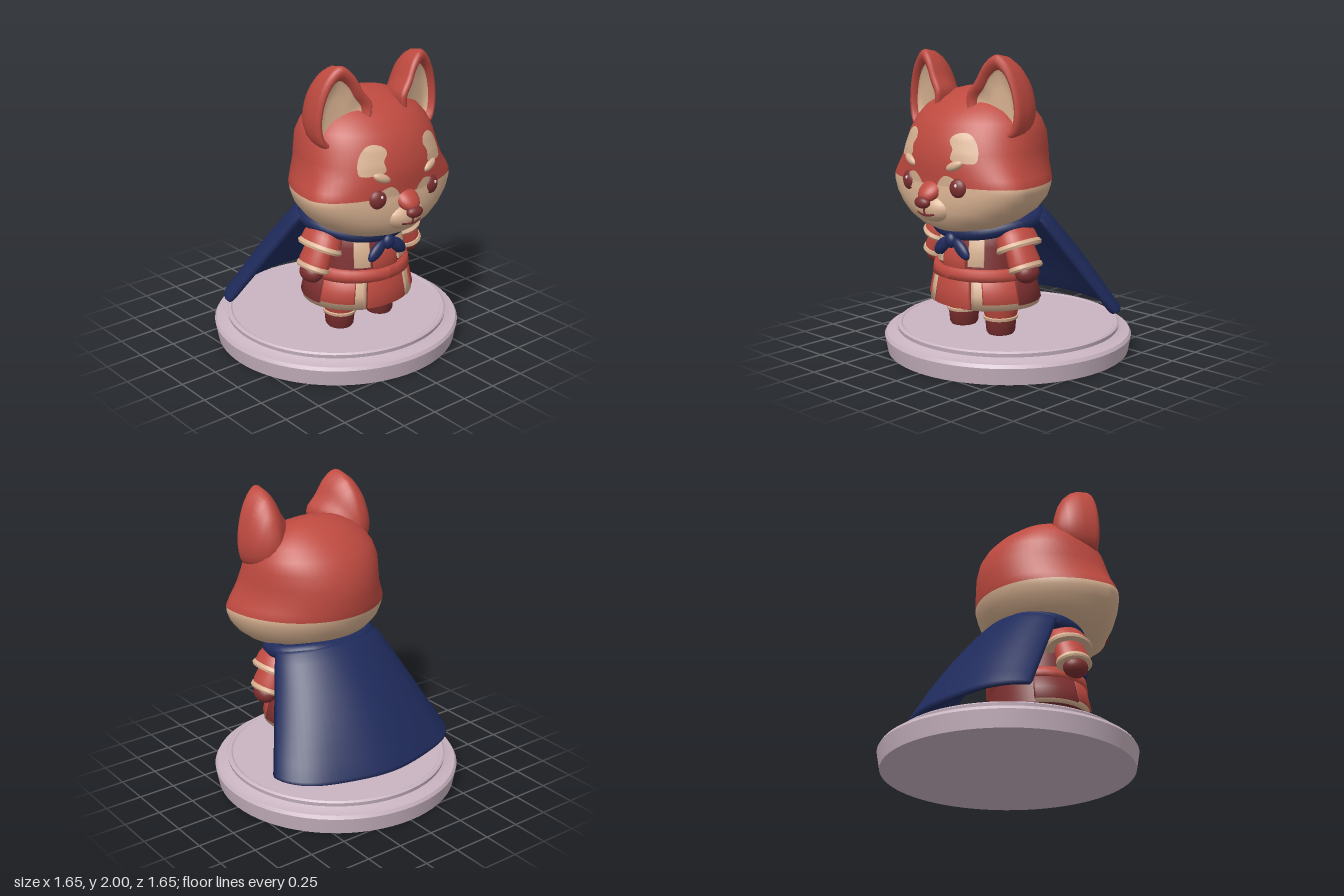
import * as THREE from 'three';
import { toCreasedNormals } from 'three/addons/utils/BufferGeometryUtils.js';

const mat = (name, color) => Object.assign(new THREE.MeshStandardMaterial({ color }), { name });
const red = mat('fur red', 0xbe4a40), cream = mat('cream', 0xd8b191), maroon = mat('maroon', 0x7c2f30);
const navy = mat('navy cloth', 0x1f2b5c), stone = mat('pale stone', 0xc9b4c1), white = mat('eye glint', 0xf0e8e8);
const V = (x, y, z) => new THREE.Vector3(x, y, z);

// Skin over rows of points; each row runs anticlockwise seen from the last row
function loft(rows, closed = true) {
  const n = rows[0].length, pos = [], idx = [];
  rows.forEach(r => r.forEach(p => pos.push(p.x, p.y, p.z)));
  for (let i = 0; i < rows.length - 1; i++) {
    for (let j = 0; j < (closed ? n : n - 1); j++) {
      const k = (j + 1) % n, a = i * n + j, b = i * n + k;
      idx.push(a, b, a + n, b, b + n, a + n);
    }
  }
  const g = new THREE.BufferGeometry();
  g.setAttribute('position', new THREE.Float32BufferAttribute(pos, 3));
  g.setIndex(idx);
  g.computeVertexNormals();
  return g;
}

// Linear lookup in a table whose first column is y
function rowAt(table, y) {
  let i = 0;
  while (i < table.length - 2 && y > table[i + 1][0]) i++;
  const t = THREE.MathUtils.clamp((y - table[i][0]) / (table[i + 1][0] - table[i][0]), 0, 1);
  return table[i].map((v, k) => v + (table[i + 1][k] - v) * t);
}

// Head: y, half width, back z, front z, z of widest point
const HEAD = [
  [0.88, 0.01, 0.46, 0.5, 0.48], [0.888, 0.14, 0.38, 0.58, 0.46], [0.92, 0.29, 0.22, 0.64, 0.42],
  [0.97, 0.4, 0.05, 0.68, 0.4], [1.03, 0.475, -0.07, 0.7, 0.4], [1.1, 0.53, -0.13, 0.705, 0.41],
  [1.16, 0.552, -0.155, 0.7, 0.42], [1.2, 0.556, -0.168, 0.695, 0.42], [1.25, 0.53, -0.175, 0.7, 0.41],
  [1.32, 0.49, -0.18, 0.705, 0.38], [1.4, 0.468, -0.178, 0.7, 0.34], [1.5, 0.455, -0.152, 0.67, 0.3],
  [1.58, 0.425, -0.105, 0.625, 0.28], [1.65, 0.37, -0.04, 0.56, 0.27], [1.71, 0.29, 0.04, 0.47, 0.25],
  [1.75, 0.2, 0.11, 0.38, 0.24], [1.772, 0.11, 0.17, 0.3, 0.23], [1.78, 0.005, 0.225, 0.235, 0.23]];
const SEAM = 7;
function headRing([y, w, zb, zf, zc], n = 56) {
  return Array.from({ length: n }, (_, j) => {
    const a = j / n * Math.PI * 2, c = Math.cos(a);
    return V(w * Math.sin(a), y, zc + c * (c > 0 ? zf - zc : zc - zb));
  });
}
function faceZ(x, y) {
  const [, w, , zf, zc] = rowAt(HEAD, y);
  return zc + (zf - zc) * Math.sqrt(Math.max(0, 1 - (x / w) ** 2));
}

// Closed smooth outline, mirrored when s = -1
function outline(pts, s, n = 36) {
  const p = new THREE.CatmullRomCurve3(pts.map(q => V(q[0], q[1], 0)), true).getPoints(n).slice(0, n);
  return s > 0 ? p : p.map(q => V(-q.x, q.y, 0)).reverse();
}

// Tunic: y, half width, half depth
const BODY = [[0.375, 0.02, 0.02], [0.38, 0.36, 0.31], [0.39, 0.37, 0.32], [0.57, 0.32, 0.295],
  [0.65, 0.305, 0.285], [0.78, 0.3, 0.27], [0.86, 0.28, 0.25], [0.93, 0.22, 0.21], [0.97, 0.12, 0.12]];
function bodyPoint(a, y, off = 0) {
  const [, rx, rz] = rowAt(BODY, y);
  return V((rx + off) * Math.sin(a), y, 0.22 + (rz + off) * Math.cos(a));
}

export function createModel() {
  const root = new THREE.Group();
  root.name = 'caped fox figurine';
  const add = (name, geo, m, parent = root) => {
    const mesh = new THREE.Mesh(geo, m);
    mesh.name = name;
    parent.add(mesh);
    return mesh;
  };
  const blob = (name, m, p, r, rot = [0, 0, 0], parent = root) => {
    const b = add(name, new THREE.SphereGeometry(1, 24, 16), m, parent);
    b.position.set(...p);
    b.scale.set(...r);
    b.rotation.set(...rot);
  };
  const lathe = (name, pts, m, parent = root, seg = 28) =>
    add(name, toCreasedNormals(new THREE.LatheGeometry(pts.map(p => new THREE.Vector2(...p)), seg), 0.6), m, parent);
  const tube = (name, pts, r, m, closed = false) =>
    add(name, new THREE.TubeGeometry(new THREE.CatmullRomCurve3(pts.map(p => V(...p)), closed), 48, r, 10, closed), m);

  // Plate wrapped on the tunic between two angles (degrees from the front)
  function wrap(name, m, d0, d1, y0, y1, off) {
    const e = 0.006, n = 28, rad = Math.PI / 180, ys = [y0, y0 + e, (y0 + y1) / 2, y1 - e, y1], full = d1 - d0 >= 360;
    const rows = ys.map((y, i) => Array.from({ length: n + 1 }, (_, j) => {
      const edge = i === 0 || i === 4 || (!full && (j === 0 || j === n));
      const t = THREE.MathUtils.clamp((j - 1) / (n - 2), 0, 1);
      return bodyPoint((d0 + (d1 - d0) * (full ? j / n : t)) * rad, y, edge ? -0.01 : off);
    }));
    add(name, loft(rows, false), m);
  }

  // Base
  lathe('base', [[0, 0], [0.805, 0], [0.825, 0.11], [0.812, 0.132], [0.77, 0.138], [0.738, 0.155], [0.742, 0.18],
    [0.73, 0.19], [0.715, 0.19], [0.705, 0.183], [0, 0.183]], stone, root, 72);

  // Head in two colours, split at the cheek line
  const headGeo = loft(HEAD.map(r => headRing(r)));
  const cut = SEAM * 56 * 6;
  headGeo.addGroup(0, cut, 0);
  headGeo.addGroup(cut, headGeo.index.count - cut, 1);
  add('head', headGeo, [cream, red]);

  // Muzzle, nose and mouth
  blob('muzzle', cream, [0, 1.05, 0.65], [0.15, 0.095, 0.1]);
  blob('noseBridge', red, [0, 1.16, 0.685], [0.08, 0.055, 0.1], [0.6, 0, 0]);
  blob('nose', maroon, [0, 1.092, 0.763], [0.06, 0.038, 0.037]);
  tube('mouth', [[-0.075, 1.02, 0.728], [0, 1.01, 0.74], [0.075, 1.02, 0.728]], 0.008, maroon);
  tube('lipLine', [[0, 1.06, 0.75], [0, 1.035, 0.748], [0, 1.01, 0.741]], 0.007, maroon);

  for (const s of [1, -1]) {
    const side = s > 0 ? 'left' : 'right';

    // Ears: domed back, rolled rim, cream hollow
    const c = V(s * 0.32, 1.65, 0);
    const rim = outline([[0.3, 1.5], [0.44, 1.5], [0.485, 1.62], [0.465, 1.8], [0.4, 1.94], [0.32, 2.0],
      [0.245, 1.945], [0.185, 1.84], [0.12, 1.74], [0.17, 1.58]], s);
    const earRow = ([k, z]) => rim.map(p => {
      const q = c.clone().lerp(p, k);
      q.z = 0.43 + z - 0.25 * (s * q.x - 0.32);
      return q;
    });
    const dome = [0.01, 0.25, 0.5, 0.7, 0.85, 0.95, 1].map(k => [k, -0.27 * Math.sqrt(1 - k * k)]);
    add(side + 'Ear', loft([...dome, [0.98, 0.02], [0.92, 0.035], [0.82, 0.03], [0.74, 0], [0.71, -0.03]].map(earRow)), red);
    add(side + 'InnerEar', loft([[0.76, 0.006], [0.7, -0.025], [0.4, -0.035], [0.005, -0.035]].map(earRow)), cream);

    // Face markings laid on the head
    const patch = (name, pts, m) => {
      const o = outline(pts, s), mid = o.reduce((t, p) => t.add(p), V(0, 0, 0)).divideScalar(o.length);
      add(name, loft([1, 0.8, 0.6, 0.4, 0.2, 0.01].map(k => o.map(p => {
        const q = mid.clone().lerp(p, k);
        return q.setZ(faceZ(q.x, q.y) + 0.007);
      }))), m);
    };
    patch(side + 'BrowPatch', [[0.17, 1.37], [0.25, 1.35], [0.325, 1.355], [0.325, 1.42], [0.285, 1.5],
      [0.23, 1.53], [0.165, 1.515], [0.145, 1.48], [0.175, 1.43]], cream);
    patch(side + 'EyePatch', [[0.07, 1.2], [0.1, 1.17], [0.22, 1.16], [0.25, 1.2], [0.2, 1.25], [0.13, 1.265]], cream);
    blob(side + 'Brow', cream, [s * 0.195, 1.33, faceZ(0.195, 1.33) - 0.002], [0.062, 0.028, 0.026], [0, s * 0.25, s * 0.4]);
    const ez = faceZ(0.22, 1.195);
    blob(side + 'Eye', maroon, [s * 0.22, 1.195, ez - 0.008], [0.06, 0.062, 0.038], [0, s * 0.25, 0]);
    blob(side + 'EyeGlint', white, [s * 0.22 + 0.008, 1.215, ez + 0.026], [0.01, 0.012, 0.006]);

    // Arm with flared shoulder guard
    const arm = new THREE.Group();
    arm.name = side + 'Arm';
    arm.position.set(s * 0.28, 0.91, 0.25);
    arm.rotation.z = s * 0.42;
    arm.scale.z = 1.3;
    root.add(arm);
    lathe('shoulderGuard', [[0.06, -0.12], [0.118, -0.13], [0.11, -0.07], [0.085, -0.01], [0.045, 0.025], [0, 0.03]], red, arm);
    lathe('guardTrim', [[0.07, -0.152], [0.122, -0.156], [0.129, -0.14], [0.119, -0.118]], cream, arm);
    lathe('sleeve', [[0.04, -0.28], [0.085, -0.28], [0.09, -0.24], [0.075, -0.1], [0, -0.08]], red, arm);
    lathe('cuff', [[0.05, -0.297], [0.088, -0.297], [0.096, -0.285], [0.093, -0.262], [0.08, -0.258]], cream, arm);
    blob('hand', maroon, [0, -0.315, 0], [0.07, 0.065, 0.066], [0, 0, 0], arm);

    // Leg and boot
    const leg = new THREE.Group();
    leg.name = side + 'Leg';
    leg.position.set(s * 0.17, 0, 0.245);
    leg.scale.z = 1.08;
    root.add(leg);
    lathe('boot', [[0, 0.18], [0.078, 0.18], [0.09, 0.2], [0.098, 0.29]], maroon, leg);
    lathe('bootTrim', [[0.09, 0.278], [0.106, 0.282], [0.11, 0.3], [0.095, 0.306]], cream, leg);
    lathe('legging', [[0.1, 0.3], [0.115, 0.36], [0.12, 0.42], [0, 0.42]], red, leg);

    // Mirrored tunic panels
    const w = (name, m, a, b, ...r) => wrap(side + name, m, s > 0 ? a : -b, s > 0 ? b : -a, ...r);
    w('ChestTrim', cream, 22, 42, 0.65, 0.85, 0.012);
    w('SkirtTrim', cream, 27, 128, 0.378, 0.565, 0.016);
    w('SkirtFlap', red, 39, 78, 0.42, 0.57, 0.024);
    w('SkirtSide', maroon, 78, 129, 0.405, 0.57, 0.024);

    // Scarf tails
    blob(side + 'ScarfTail', navy, [s * 0.085, 0.768, 0.515], [0.042, 0.085, 0.03], [0, 0, s * 0.85]);
    blob(side + 'ScarfTailTip', navy, [s * 0.1, 0.745, 0.51], [0.032, 0.04, 0.022], [0, 0, s * 0.2]);
  }

  // Tunic, centre panels and belt
  add('tunic', loft(BODY.map(([y]) => Array.from({ length: 40 }, (_, j) => bodyPoint(j / 40 * Math.PI * 2, y)))), maroon);
  wrap('chestPanel', red, -18, 18, 0.63, 0.76, 0.01);
  wrap('skirtFrontPanel', red, -25, 25, 0.382, 0.57, 0.012);
  wrap('belt', red, 0, 360, 0.56, 0.64, 0.032);

  // Scarf and knot
  tube('scarf', [[0, 0.865, 0.48], [0.2, 0.885, 0.43], [0.33, 0.925, 0.28], [0.34, 0.945, 0.12],
    [0.2, 0.97, -0.02], [0, 0.975, -0.05], [-0.2, 0.97, -0.02], [-0.34, 0.945, 0.12], [-0.33, 0.925, 0.28],
    [-0.2, 0.885, 0.43]], 0.052, navy, true);
  blob('scarfKnot', navy, [0, 0.815, 0.525], [0.045, 0.05, 0.035]);

  // Cape: thick flared sheet, rows from hem to neck
  const cols = 32, capeRows = [];
  const capePoint = (u, v, t) => {
    const a = u * Math.PI / 2, sn = Math.sin(a), cs = Math.cos(a), L = THREE.MathUtils.lerp;
    const bulge = Math.sin(Math.PI * v) * 0.035 + Math.cos(a * 6) * 0.008 * (1 - v);
    return V(sn * (L(0.68, 0.38, v) + t), L(0.3 - 0.025 * cs, 0.955 + 0.05 * cs, v) + t * 0.5 * cs,
      L(-0.27, 0.13, v) - cs * (L(0.34, 0.22, v) + bulge + t));
  };
  for (const [v, t] of [[0, 0], [0.005, 0.014], [0.03, 0.022], [0.15, 0.02], [0.3, 0.02], [0.45, 0.02],
    [0.6, 0.02], [0.75, 0.02], [0.9, 0.02], [0.98, 0.016], [1, 0]]) {
    const row = [];
    for (let j = 0; j <= cols; j++) row.push(capePoint(1 - 2 * j / cols, v, t));
    for (let j = 0; j <= cols; j++) row.push(capePoint(-1 + 2 * j / cols, v, -t));
    capeRows.push(row);
  }
  add('cape', loft(capeRows), navy);

  return root;
}
